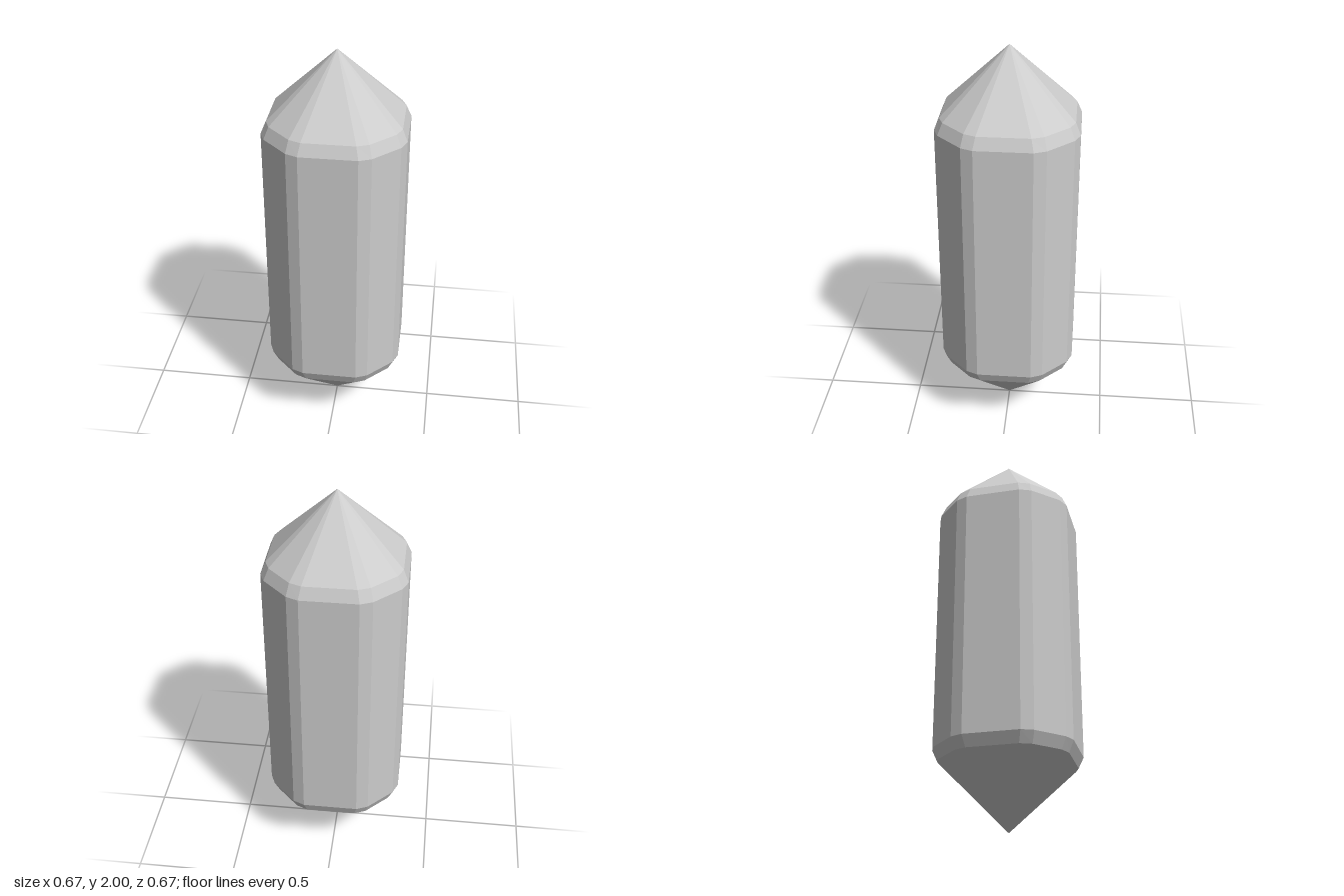
import * as THREE from 'three';

// Quarter of a bevelled octagon, repeated four times around the y axis
function ring(quarter, y) {
  const points = [];
  for (let k = 0; k < 4; k++) {
    const c = Math.round(Math.cos(k * Math.PI / 2)), s = Math.round(Math.sin(k * Math.PI / 2));
    for (const [x, z] of quarter) points.push([x * c - z * s, y, x * s + z * c]);
  }
  return points;
}

export function createModel() {
  const wide = [[0.336, 0.135], [0.312, 0.192], [0.192, 0.312], [0.135, 0.336]];
  const narrow = [[0.312, 0.123], [0.289, 0.179], [0.179, 0.289], [0.123, 0.312]];
  const tip = [[0, 0], [0, 0], [0, 0], [0, 0]];

  // Cross-sections from the bottom tip to the top tip
  const rings = [
    ring(tip, 0), ring(narrow, 0.32), ring(wide, 0.376),
    ring(wide, 1.626), ring(narrow, 1.684), ring(tip, 2),
  ];

  const positions = [];
  const n = rings[0].length, last = rings.length - 2;
  for (let r = 0; r <= last; r++) {
    for (let i = 0; i < n; i++) {
      const j = (i + 1) % n;
      const a = rings[r][i], b = rings[r][j], c = rings[r + 1][j], d = rings[r + 1][i];
      if (r < last) positions.push(...a, ...d, ...c);
      if (r > 0) positions.push(...a, ...c, ...b);
    }
  }

  const geometry = new THREE.BufferGeometry();
  geometry.setAttribute('position', new THREE.Float32BufferAttribute(positions, 3));
  // The bottom cone needs its own winding check: a is the tip, d and c the ring
  geometry.computeVertexNormals();

  const crystal = new THREE.Mesh(
    geometry,
    new THREE.MeshStandardMaterial({ color: 0xcccccc, flatShading: true })
  );
  crystal.name = 'crystal';

  const group = new THREE.Group();
  group.name = 'doublePointedCrystal';
  group.add(crystal);
  return group;
}
